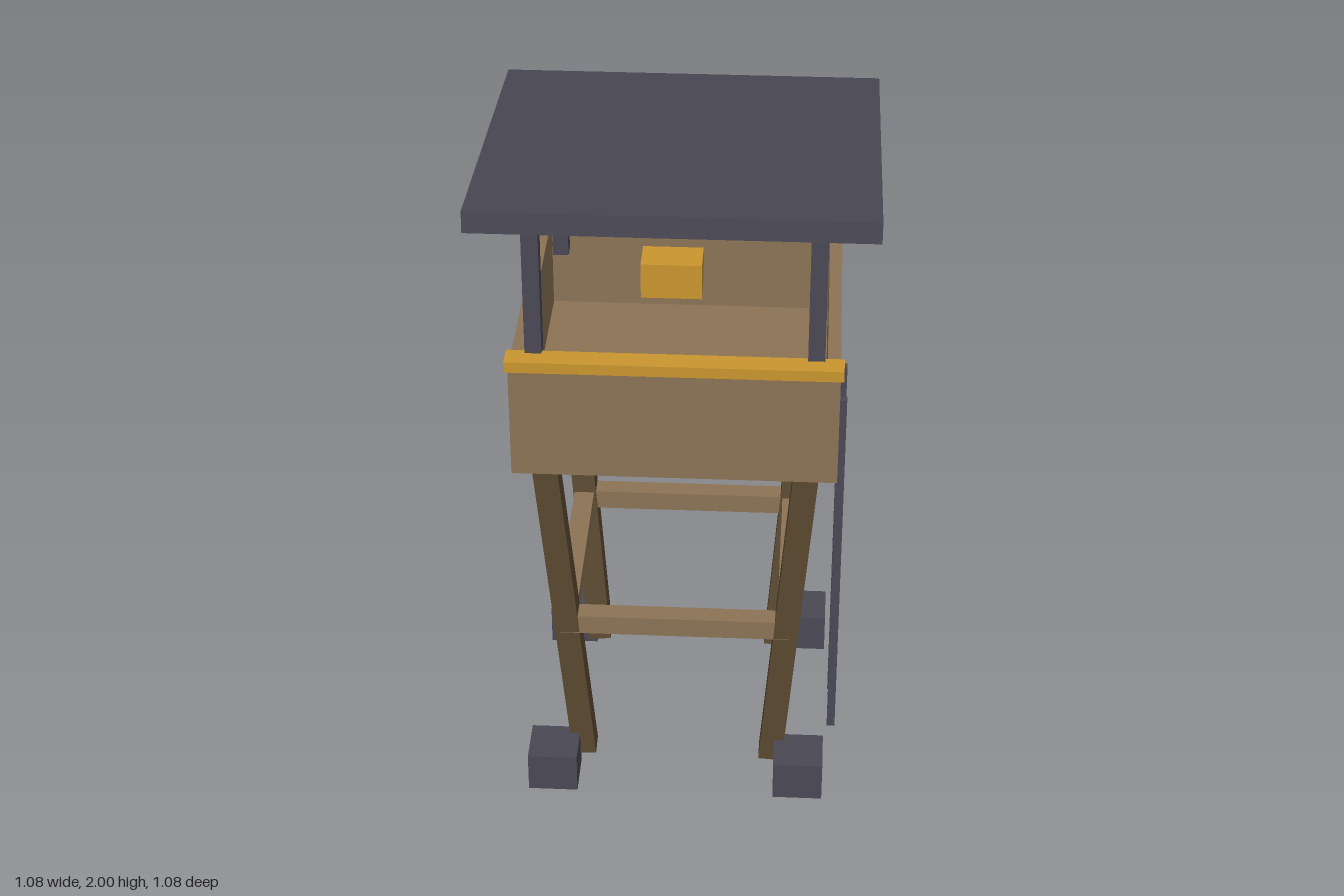
import * as THREE from 'three';

const material = (name, color) => {
  const m = new THREE.MeshStandardMaterial({ color });
  m.name = name;
  return m;
};

export function createModel() {
  const plank = material('plankWood', 0x8b7355);
  const darkWood = material('darkWood', 0x5c4a32);
  const metal = material('slateMetal', 0x4a4854);
  const yellow = material('ochreYellow', 0xc8952f);

  const tower = new THREE.Group();
  tower.name = 'watchtower';

  // Box from size and centre
  const box = (name, mat, [w, h, d], [x, y, z], parent = tower) => {
    const mesh = new THREE.Mesh(new THREE.BoxGeometry(w, h, d), mat);
    mesh.name = name;
    mesh.position.set(x, y, z);
    parent.add(mesh);
    return mesh;
  };

  // Corner parts: footing, leaning leg, roof post
  const up = new THREE.Vector3(0, 1, 0);
  for (const sx of [-1, 1]) {
    for (const sz of [-1, 1]) {
      box('footing', metal, [0.145, 0.122, 0.145], [sx * 0.363, 0.064, sz * 0.363]);

      const foot = new THREE.Vector3(sx * 0.279, 0.048, sz * 0.279);
      const head = new THREE.Vector3(sx * 0.364, 1.15, sz * 0.364);
      const axis = head.clone().sub(foot);
      const mid = foot.clone().add(head).multiplyScalar(0.5);
      const leg = box('leg', darkWood, [0.07, axis.length(), 0.07], mid.toArray());
      leg.quaternion.setFromUnitVectors(up, axis.normalize());

      box('roofPost', metal, [0.046, 0.5, 0.046], [sx * 0.381, 1.63, sz * 0.381]);
    }
  }

  // Cross braces between the legs
  for (const s of [-1, 1]) {
    box('brace', plank, [0.69, 0.06, 0.06], [0, 0.555, s * 0.321]);
    box('sideBrace', plank, [0.06, 0.06, 0.69], [s * 0.321, 0.555, 0]);
  }

  // Cabin floor, walls and the rails on the front and back walls
  box('floor', plank, [0.894, 0.05, 0.894], [0, 1.167, 0]);
  for (const s of [-1, 1]) {
    box('endWall', plank, [0.894, 0.282, 0.036], [0, 1.331, s * 0.429]);
    box('sideWall', plank, [0.036, 0.282, 0.822], [s * 0.429, 1.331, 0]);
    box('rail', yellow, [0.912, 0.032, 0.066], [0, 1.487, s * 0.422]);
  }

  // Sloping roof, higher at the front
  const roof = box('roof', metal, [1.076, 0.06, 1.076], [0, 1.915, 0]);
  roof.rotation.x = -0.1;

  // Lamp hanging at the front
  box('lamp', yellow, [0.158, 0.098, 0.098], [0, 1.812, 0.489]);

  // Ladder on the left side
  const ladder = new THREE.Group();
  ladder.name = 'ladder';
  tower.add(ladder);
  for (const s of [-1, 1]) {
    box('ladderRail', metal, [0.024, 1.18, 0.024], [0.46, 0.6, s * 0.09], ladder);
  }
  for (let i = 0; i < 9; i++) {
    box('rung', metal, [0.02, 0.02, 0.17], [0.46, 0.125 + i * 0.1195, 0], ladder);
  }

  return tower;
}
